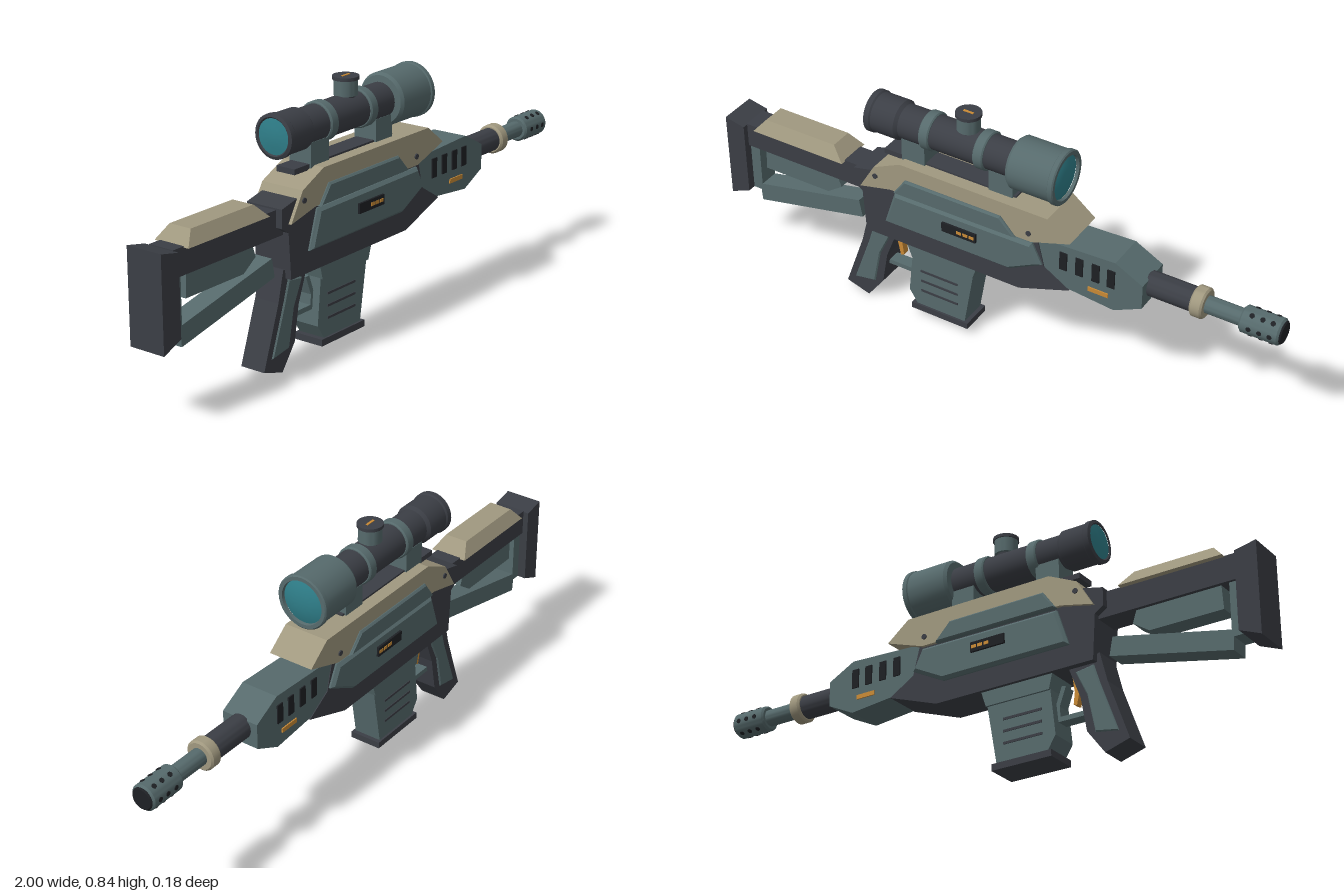
import * as THREE from 'three';
import { toCreasedNormals } from 'three/addons/utils/BufferGeometryUtils.js';

const paint = (name, color) => {
  const m = new THREE.MeshStandardMaterial({ color });
  m.name = name;
  return m;
};

export function createModel() {
  const dark = paint('charcoal', 0x3b3e45);
  const grey = paint('slateGrey', 0x566a6c);
  const tan = paint('sand', 0xa0987f);
  const black = paint('black', 0x1e2024);
  const glass = paint('tealGlass', 0x2f7f8a);
  const orange = paint('orange', 0xc98a35);
  const model = new THREE.Group();
  model.name = 'rifle';

  const add = (name, geo, mat, parent = model) => {
    const mesh = new THREE.Mesh(geo, mat);
    mesh.name = name;
    parent.add(mesh);
    return mesh;
  };

  // Side outline extruded from z0 to z1, with an optional chamfer inside the outline
  const prismGeo = (pts, z0, z1, bevel = 0) => {
    const shape = new THREE.Shape(pts.map(p => new THREE.Vector2(...p)));
    const geo = new THREE.ExtrudeGeometry(shape, {
      depth: z1 - z0 - 2 * bevel, bevelEnabled: bevel > 0, bevelThickness: bevel,
      bevelSize: bevel, bevelOffset: -bevel, bevelSegments: 1,
    });
    return geo.translate(0, 0, z0 + bevel);
  };
  const prism = (name, pts, half, mat, bevel = 0) => add(name, prismGeo(pts, -half, half, bevel), mat);
  const box = (name, x0, x1, y0, y1, half, mat) =>
    add(name, new THREE.BoxGeometry(x1 - x0, y1 - y0, half * 2)
      .translate((x0 + x1) / 2, (y0 + y1) / 2, 0), mat);
  // Thin plates on both flanks
  const plates = (name, x0, x1, y0, y1, z, mat, thick = 0.006) => {
    for (const s of [1, -1]) {
      add(name, new THREE.BoxGeometry(x1 - x0, y1 - y0, thick)
        .translate((x0 + x1) / 2, (y0 + y1) / 2, s * z), mat);
    }
  };
  // Turned part along x; profile is [x, radius] from rear to front
  const turned = (name, profile, y, mat) => {
    const geo = new THREE.LatheGeometry(profile.map(([x, r]) => new THREE.Vector2(r, x)), 32);
    geo.rotateZ(-Math.PI / 2).translate(0, y, 0);
    return add(name, toCreasedNormals(geo, 0.6), mat);
  };
  const rod = (name, x0, x1, r, y, mat, c = 0.004) =>
    turned(name, [[x0, 0], [x0, r - c], [x0 + c, r], [x1 - c, r], [x1, r - c], [x1, 0]], y, mat);

  // Receiver and raised side panels
  prism('receiver', [[-0.445, 0.3], [0.13, 0.3], [0.31, 0.365], [0.22, 0.42], [0.19, 0.54],
    [-0.4, 0.55], [-0.485, 0.53], [-0.485, 0.47], [-0.455, 0.45]], 0.067, dark);
  prism('sidePanel', [[-0.365, 0.37], [0.1, 0.37], [0.215, 0.43], [0.18, 0.5], [-0.325, 0.495]],
    0.083, grey, 0.01);
  plates('displayPlate', -0.14, -0.015, 0.43, 0.463, 0.086, black, 0.009);
  for (const x of [-0.075, -0.052, -0.029]) {
    plates('displayMark', x - 0.009, x + 0.009, 0.441, 0.452, 0.0905, orange, 0.003);
  }

  // Upper cover with inset flank panels and screws
  prism('upperCover', [[-0.455, 0.478], [-0.34, 0.505], [0.18, 0.508], [0.315, 0.554],
    [0.235, 0.617], [-0.3, 0.617], [-0.4, 0.57]], 0.078, tan);
  prism('coverPanel', [[-0.325, 0.502], [0.125, 0.505], [0.07, 0.565], [-0.28, 0.565]], 0.087, grey, 0.006);
  for (const x of [-0.395, 0.17]) {
    for (const s of [1, -1]) {
      add('coverScrew', new THREE.CylinderGeometry(0.009, 0.009, 0.006, 12)
        .rotateX(Math.PI / 2).translate(x, 0.538, s * 0.079), dark);
    }
  }

  // Handguard with vents
  prism('handguard', [[0.17, 0.4], [0.31, 0.368], [0.465, 0.353], [0.56, 0.4], [0.56, 0.485],
    [0.465, 0.535], [0.17, 0.522]], 0.064, grey);
  for (const x of [0.287, 0.343, 0.4, 0.453]) {
    plates('vent', x - 0.013, x + 0.013, 0.437, 0.502, 0.065, black);
  }
  plates('handguardStripe', 0.375, 0.445, 0.394, 0.409, 0.065, orange);

  // Barrel and muzzle
  const axis = 0.455;
  rod('barrelSleeve', 0.55, 0.71, 0.04, axis, dark);
  rod('barrelCollar', 0.705, 0.747, 0.05, axis, tan, 0.006);
  rod('barrel', 0.74, 0.88, 0.028, axis, grey);
  rod('muzzleBrake', 0.865, 0.995, 0.043, axis, grey, 0.006);
  rod('muzzleEnd', 0.985, 1, 0.037, axis, black);
  for (let i = 0; i < 6; i++) {
    for (const x of [0.9, 0.935, 0.968]) {
      add('muzzlePort', new THREE.CylinderGeometry(0.008, 0.008, 0.004, 10)
        .translate(x, 0.0425, 0).rotateX(Math.PI / 6 + i * Math.PI / 3).translate(0, axis, 0), black);
    }
  }

  // Stock
  prism('buttPad', [[-1, 0.235], [-0.928, 0.265], [-0.928, 0.522], [-1, 0.537]], 0.064, dark);
  box('stockPost', -0.93, -0.892, 0.265, 0.45, 0.035, grey);
  box('stockTube', -0.93, -0.45, 0.44, 0.525, 0.045, dark);
  prism('stockBrace', [[-0.87, 0.362], [-0.62, 0.362], [-0.565, 0.4], [-0.58, 0.445], [-0.865, 0.445]], 0.032, grey);
  prism('stockStrut', [[-0.895, 0.223], [-0.483, 0.313], [-0.495, 0.375], [-0.9, 0.287]], 0.035, grey);
  const cheek = prism('cheekRest', [[-0.888, 0.522], [-0.535, 0.522], [-0.58, 0.566], [-0.85, 0.566]], 0.064, tan);
  const cp = cheek.geometry.attributes.position;
  for (let i = 0; i < cp.count; i++) if (cp.getY(i) > 0.55) cp.setZ(i, cp.getZ(i) * 0.62);
  cheek.geometry.computeVertexNormals();

  // Grip, trigger and guard
  prism('grip', [[-0.55, 0.03], [-0.465, 0.004], [-0.405, 0.085], [-0.385, 0.2], [-0.345, 0.305],
    [-0.455, 0.33], [-0.48, 0.23]], 0.045, dark);
  prism('gripPanel', [[-0.515, 0.062], [-0.435, 0.075], [-0.41, 0.2], [-0.37, 0.285], [-0.435, 0.295], [-0.455, 0.23]],
    0.05, grey, 0.004);
  prism('trigger', [[-0.36, 0.31], [-0.362, 0.24], [-0.352, 0.195], [-0.34, 0.2], [-0.345, 0.24], [-0.335, 0.31]], 0.012, orange);
  box('triggerGuard', -0.4, -0.285, 0.15, 0.166, 0.022, grey);
  prism('guardFront', [[-0.3, 0.155], [-0.28, 0.155], [-0.285, 0.21], [-0.305, 0.265], [-0.32, 0.262], [-0.297, 0.2]], 0.022, grey);

  // Magazine
  prism('magazineWell', [[-0.295, 0.31], [-0.28, 0.25], [-0.05, 0.25], [-0.03, 0.31]], 0.055, grey);
  prism('magazine', [[-0.28, 0.26], [-0.297, 0.1], [-0.265, 0.05], [-0.085, 0.05], [-0.05, 0.26]], 0.048, grey);
  box('magazineBase', -0.285, -0.07, 0.032, 0.054, 0.055, dark);
  for (const y of [0.115, 0.155, 0.195]) plates('magazineRib', -0.25, -0.11, y - 0.004, y + 0.004, 0.0485, dark, 0.004);

  // Scope mounts
  box('scopeRail', -0.385, 0.1, 0.605, 0.623, 0.035, dark);
  box('rearMount', -0.315, -0.23, 0.61, 0.69, 0.042, grey);
  box('frontMount', 0.005, 0.09, 0.61, 0.69, 0.042, grey);

  // Scope
  const sy = 0.73;
  rod('scopeTube', -0.33, 0.1, 0.057, sy, dark);
  turned('eyepiece', [[-0.438, 0.056], [-0.442, 0.06], [-0.438, 0.07], [-0.42, 0.07], [-0.415, 0.066],
    [-0.33, 0.066], [-0.318, 0.056]], sy, dark);
  for (const x of [-0.222, -0.025]) rod('scopeRing', x - 0.018, x + 0.018, 0.064, sy, grey);
  turned('scopeBell', [[0.082, 0.05], [0.085, 0.078], [0.095, 0.086], [0.235, 0.086], [0.238, 0.09],
    [0.252, 0.09], [0.256, 0.086], [0.256, 0.074], [0.246, 0.072]], sy, grey);
  turned('frontLens', [[0.244, 0.074], [0.251, 0.055], [0.256, 0.03], [0.258, 0]], sy, glass);
  turned('rearLens', [[-0.443, 0], [-0.441, 0.03], [-0.436, 0.058]], sy, glass);

  // Adjustment turret
  const disc = (name, r, y0, y1, mat) => add(name, toCreasedNormals(
    new THREE.CylinderGeometry(r, r, y1 - y0, 28).translate(-0.092, (y0 + y1) / 2, 0), 0.6), mat);
  disc('turretBase', 0.03, 0.77, 0.79, dark);
  disc('turret', 0.038, 0.785, 0.835, grey);
  disc('turretCap', 0.042, 0.834, 0.845, dark);
  box('turretMark', -0.11, -0.074, 0.843, 0.847, 0.004, orange);

  return model;
}
